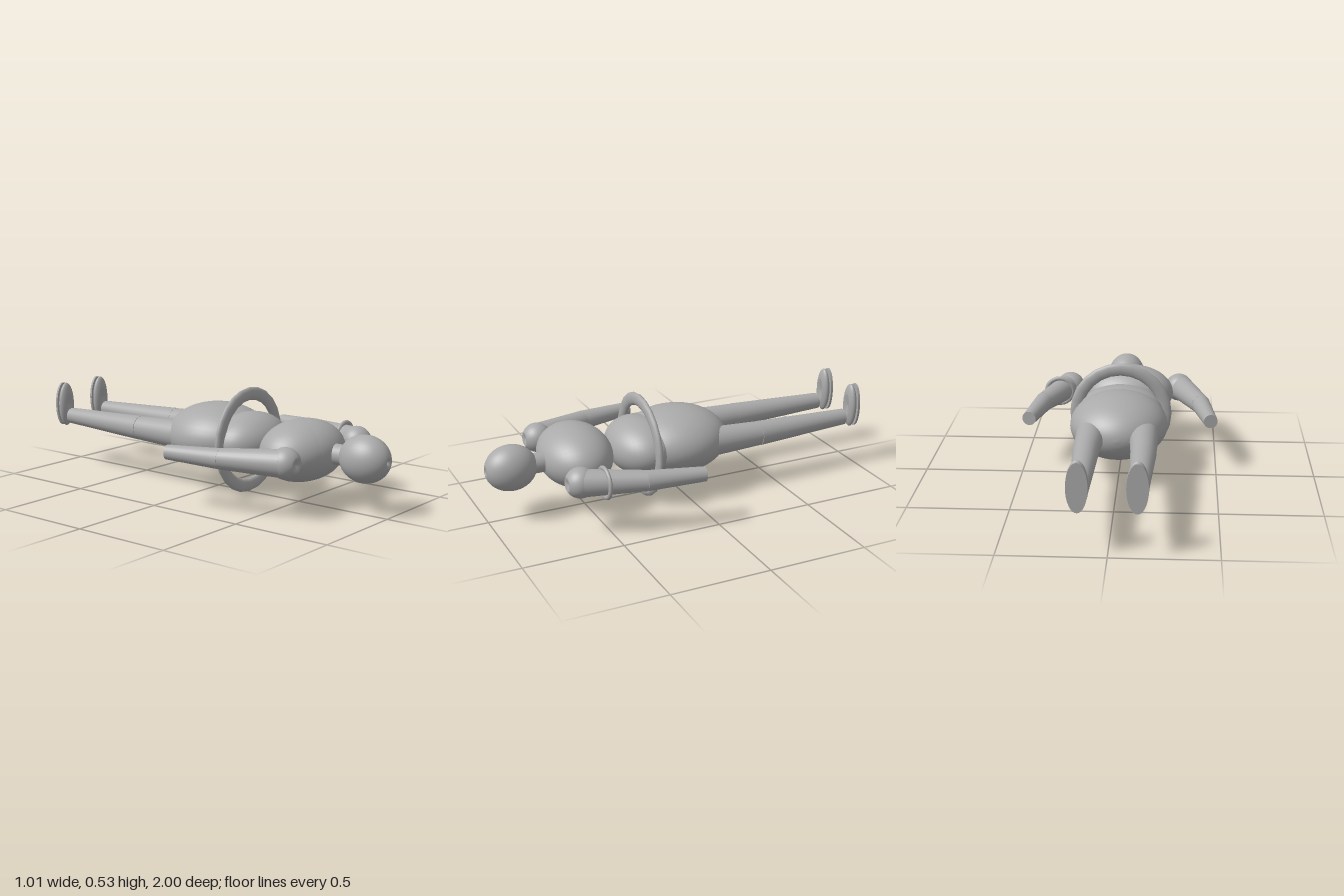
import * as THREE from 'three';

const Y = 0.268; // height of the body axis

export function createModel() {
  const model = new THREE.Group();
  model.name = 'lyingFigure';
  const grey = new THREE.MeshStandardMaterial({ color: 0xaaaaaa });
  grey.name = 'plain grey';

  function add(name, geometry, x = 0, y = 0, z = 0) {
    const mesh = new THREE.Mesh(geometry, grey);
    mesh.name = name;
    mesh.position.set(x, y, z);
    model.add(mesh);
    return mesh;
  }

  // Ellipsoid with its pole along z; rim > 0 sinks a small dimple into the +z pole
  function ellipsoid(name, [x, y, z], [rx, ry, rz], rim = 0, depth = 0) {
    const points = [];
    const start = -Math.PI / 2, end = Math.acos(rim);
    for (let i = 0; i <= 24; i++) {
      const a = start + (end - start) * i / 24;
      points.push(new THREE.Vector2(i === 0 ? 0 : Math.cos(a), Math.sin(a)));
    }
    if (rim > 0) {
      const top = Math.sin(end);
      points.push(new THREE.Vector2(rim * 0.5, top - depth * 0.6), new THREE.Vector2(0, top - depth));
    }
    const geometry = new THREE.LatheGeometry(points, 40);
    geometry.rotateX(Math.PI / 2).scale(rx, ry, rz);
    return add(name, geometry, x, y, z);
  }

  // Tapered limb from point a to point b
  function limb(name, a, b, ra, rb) {
    const from = new THREE.Vector3(...a), to = new THREE.Vector3(...b);
    const axis = to.clone().sub(from);
    const mesh = add(name, new THREE.CylinderGeometry(rb, ra, axis.length(), 28));
    mesh.position.copy(from).add(to).multiplyScalar(0.5);
    mesh.quaternion.setFromUnitVectors(new THREE.Vector3(0, 1, 0), axis.normalize());
  }

  // Ring around the z axis, flattened along z
  function ring(name, x, y, z, radius, tube, flat, segments) {
    add(name, new THREE.TorusGeometry(radius, tube, 12, segments).scale(1, 1, flat), x, y, z);
  }

  // Head, neck and torso
  ellipsoid('head', [0, Y, 0.872], [0.102, 0.115, 0.13], 0.17, 0.14);
  limb('neck', [0, Y, 0.62], [0, Y, 0.8], 0.05, 0.05);
  ellipsoid('chest', [-0.03, Y, 0.533], [0.24, 0.15, 0.182]);
  ellipsoid('chestFront', [-0.016, Y, 0.538], [0.237, 0.15, 0.182]);
  ellipsoid('belly', [0, Y, 0.2], [0.225, 0.14, 0.165]);
  ellipsoid('hips', [0, Y, 0], [0.248, 0.166, 0.27]);
  ring('waistRing', 0, 0.266, 0.193, 0.233, 0.033, 0.5, 24);

  // Arms and legs, mirrored
  for (const [side, s] of [['left', 1], ['right', -1]]) {
    ellipsoid(side + 'Shoulder', [s * 0.302, Y, 0.632], [0.075, 0.075, 0.075], 0.42, 0.16);
    limb(side + 'UpperArm', [s * 0.315, Y, 0.62], [s * 0.419, Y, 0.337], 0.067, 0.05);
    limb(side + 'Forearm', [s * 0.418, Y, 0.345], [s * 0.468, Y, 0.06], 0.05, 0.036);
    limb(side + 'Thigh', [s * 0.131, Y, -0.08], [s * 0.138, Y, -0.41], 0.077, 0.062);
    limb(side + 'Shin', [s * 0.138, Y, -0.41], [s * 0.132, Y, -0.925], 0.063, 0.042);

    // Foot with a thin flat sole
    ellipsoid(side + 'Foot', [s * 0.132, 0.327, -0.968], [0.05, 0.118, 0.026], 0.5, 0.4);
    const sole = new THREE.CylinderGeometry(1, 1, 0.012, 32);
    sole.rotateX(Math.PI / 2).scale(0.049, 0.117, 1);
    add(side + 'Sole', sole, s * 0.132, 0.327, -0.994);
  }

  // Band on the left upper arm
  ring('armBand', 0.354, Y, 0.53, 0.071, 0.012, 0.85, 24);

  return model;
}
